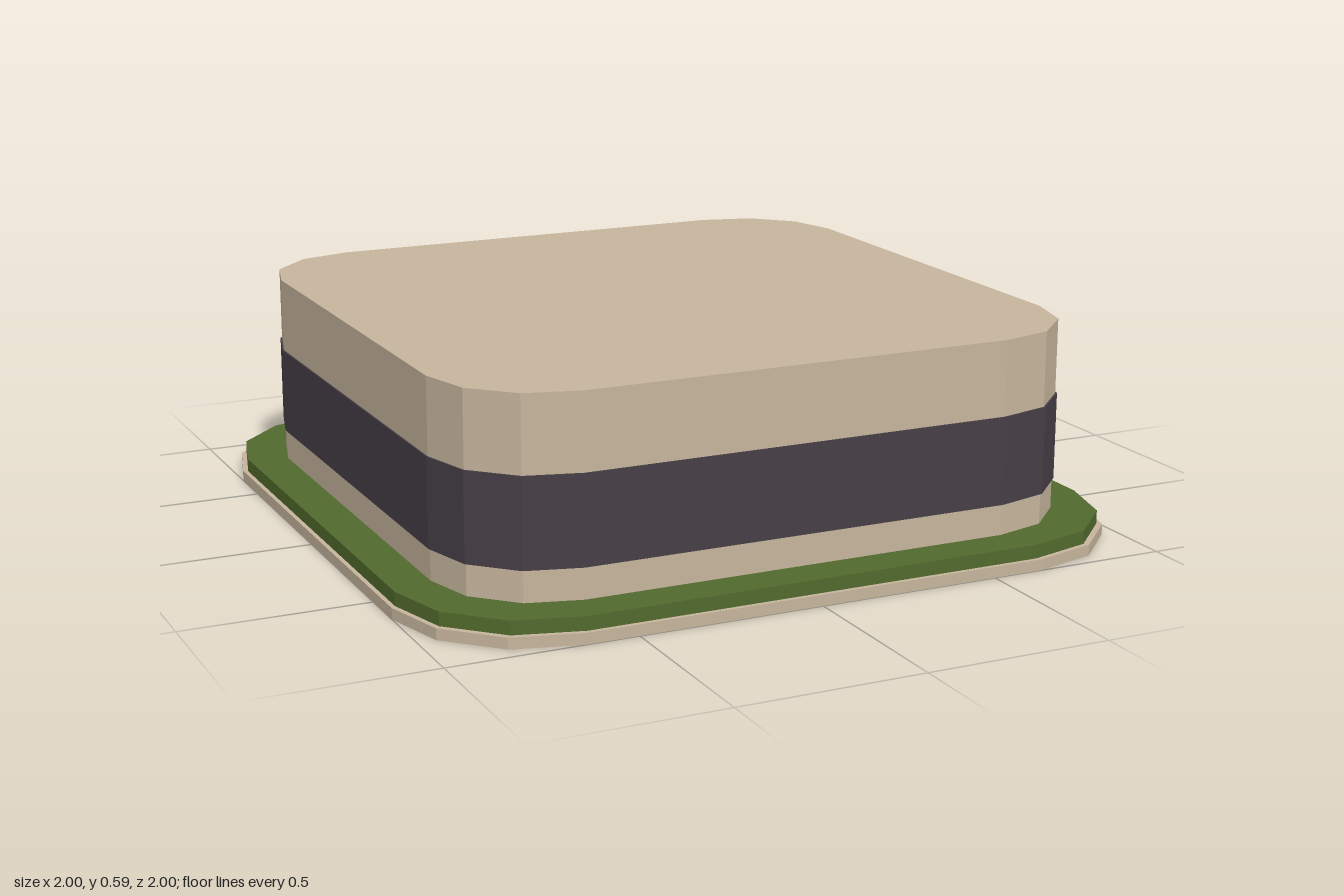
import * as THREE from 'three';

const tan = new THREE.MeshStandardMaterial({ name: 'sandstone', color: 0xc6b59d });
const green = new THREE.MeshStandardMaterial({ name: 'grass green', color: 0x516a2d });
const dark = new THREE.MeshStandardMaterial({ name: 'dark slate', color: 0x463f46 });

// Square outline with rounded corners, three facets per corner
function roundedSquare(half, radius) {
  const points = [];
  const c = half - radius;
  [[1, 1], [-1, 1], [-1, -1], [1, -1]].forEach(([sx, sy], corner) => {
    for (let i = 0; i <= 3; i++) {
      const a = (corner + i / 3) * Math.PI / 2;
      points.push(new THREE.Vector2(sx * c + radius * Math.cos(a), sy * c + radius * Math.sin(a)));
    }
  });
  return new THREE.Shape(points);
}

// Flat-sided slab between two heights
function slab(name, material, half, radius, bottom, top) {
  const geometry = new THREE.ExtrudeGeometry(roundedSquare(half, radius), {
    depth: top - bottom,
    bevelEnabled: false,
  });
  geometry.rotateX(-Math.PI / 2);
  geometry.translate(0, bottom, 0);
  const mesh = new THREE.Mesh(geometry, material);
  mesh.name = name;
  return mesh;
}

export function createModel() {
  const model = new THREE.Group();
  model.name = 'roundedBlock';
  model.add(
    slab('basePlate', tan, 1, 0.36, 0, 0.03),
    slab('lawn', green, 0.988, 0.357, 0.03, 0.067),
    slab('body', tan, 0.88, 0.29, 0.067, 0.59),
    slab('windowBand', dark, 0.884, 0.292, 0.15, 0.387),
  );
  return model;
}
